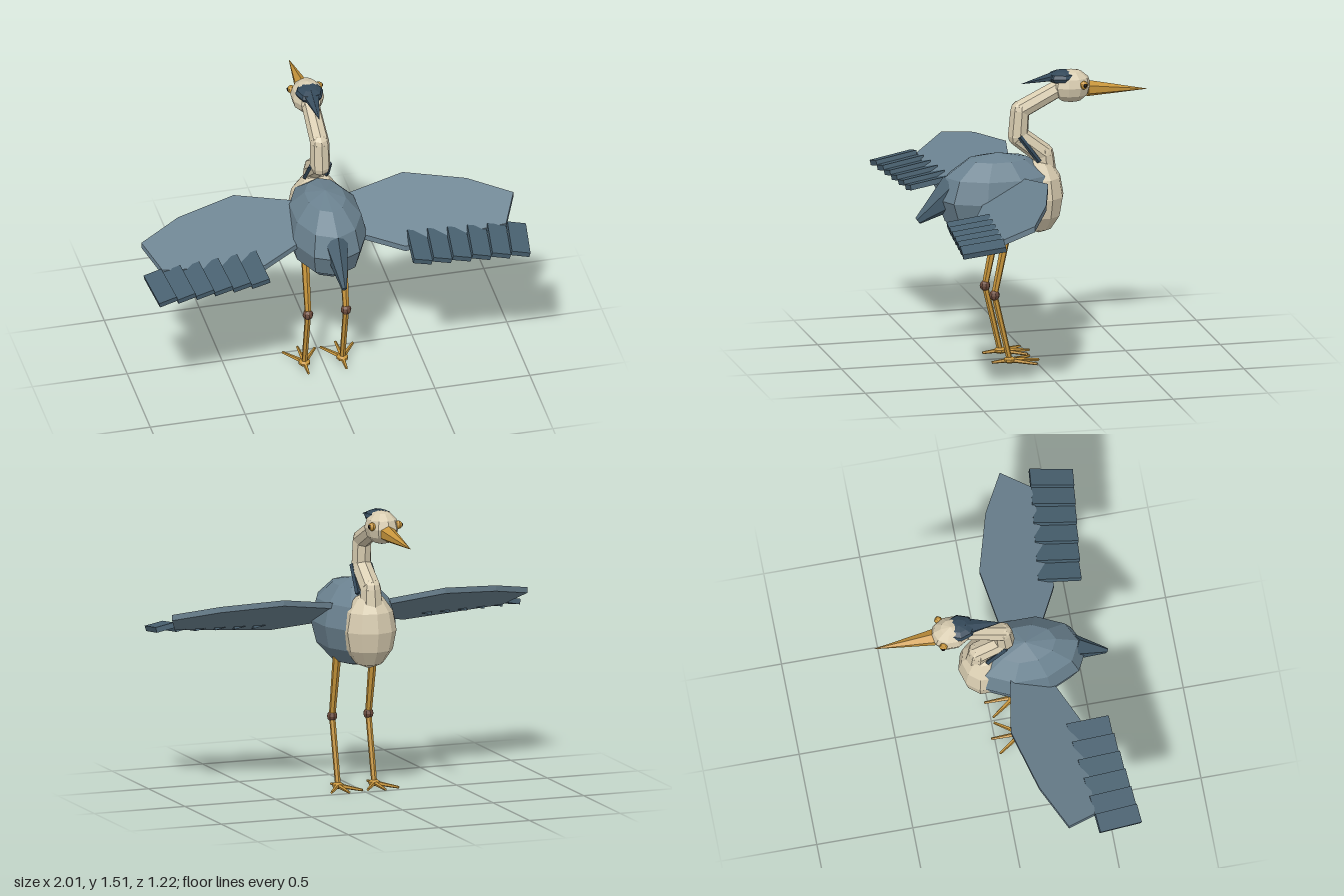
import * as THREE from 'three';

const mat = (color) => new THREE.MeshStandardMaterial({ color, flatShading: true });
const V = (x, y, z) => new THREE.Vector3(x, y, z);

export function createModel() {
  const bird = new THREE.Group();
  bird.name = 'wadingBird';
  const slate = mat(0x6b8290), feather = mat(0x48606f), dark = mat(0x34495a);
  const cream = mat(0xd8ccb0), gold = mat(0xc8963c), brown = mat(0x6b4a3c), black = mat(0x1c1714);

  const add = (name, geometry, material) => {
    const mesh = new THREE.Mesh(geometry, material);
    mesh.name = name;
    bird.add(mesh);
    return mesh;
  };

  // Faceted ellipsoid with a vertex line facing front and back
  const ball = (name, center, radii, material, w = 10, h = 6) => {
    const g = new THREE.SphereGeometry(1, w, h).rotateY(Math.PI / 2);
    g.scale(...radii).translate(...center);
    return add(name, g, material);
  };

  // Tapered bar from a to b; sx and sz flatten its cross-section
  const bar = (name, a, b, ra, rb, material, sides = 8, sx = 1, sz = 1) => {
    const dir = b.clone().sub(a);
    const g = new THREE.CylinderGeometry(rb, ra, dir.length(), sides);
    g.scale(sx, 1, sz);
    const mesh = add(name, g, material);
    mesh.position.copy(a).add(b).multiplyScalar(0.5);
    mesh.quaternion.setFromUnitVectors(V(0, 1, 0), dir.normalize());
    return mesh;
  };

  // Body, breast and tail
  ball('body', [0, 0.868, 0.177], [0.205, 0.23, 0.32], slate);
  ball('breast', [0, 0.86, -0.042], [0.142, 0.2, 0.13], cream);
  bar('tail', V(0, 0.91, 0.4), V(0, 0.762, 0.597), 0.1, 0.02, feather, 6, 0.68, 1);

  // Bent neck with faceted joints
  const neck = [
    [0, 0.98, -0.072, 0.062], [0, 1.075, -0.065, 0.056], [0, 1.18, 0.068, 0.053],
    [0, 1.315, 0.058, 0.05], [0, 1.43, -0.17, 0.046],
  ];
  neck.slice(1).forEach(([x, y, z, r], i) => {
    const [px, py, pz, pr] = neck[i];
    bar('neckSegment', V(px, py, pz), V(x, y, z), pr, r, cream);
    if (i < 3) ball('neckJoint', [x, y, z], [r, r, r], cream, 8, 6);
  });

  // Head, cap, plume and beak
  ball('head', [0, 1.428, -0.212], [0.086, 0.088, 0.104], cream);
  ball('cap', [0, 1.477, -0.168], [0.073, 0.036, 0.088], dark, 8, 6);
  bar('plume', V(0, 1.485, -0.14), V(0, 1.452, 0.05), 0.05, 0.001, dark, 6, 1, 0.55);
  bar('beak', V(0, 1.408, -0.298), V(0, 1.385, -0.61), 0.043, 0.001, gold, 6);

  // Wing outline as x, z; the sheet slopes down to the rear
  const outline = [
    [0.1, 0.08], [0.19, 0.065], [0.445, 0.02], [0.76, 0.11], [0.98, 0.225],
    [0.905, 0.375], [0.37, 0.395], [0.19, 0.305], [0.1, 0.27],
  ];
  const wingTop = (x, z) => 1.035 - 0.52 * (z - 0.02) + 0.06 * (Math.abs(x) - 0.445);

  for (const s of [1, -1]) {
    const side = s > 0 ? 'left' : 'right';

    // Wing
    const shape = new THREE.Shape(outline.map(([x, z]) => new THREE.Vector2(s * x, -z)));
    const wing = new THREE.ExtrudeGeometry(shape, { depth: 0.03, bevelEnabled: false });
    wing.rotateX(-Math.PI / 2);
    const p = wing.attributes.position;
    for (let i = 0; i < p.count; i++) {
      p.setY(i, p.getY(i) - 0.03 + wingTop(p.getX(i), p.getZ(i)));
    }
    wing.computeVertexNormals();
    add(side + 'Wing', wing, slate);

    // Flight feathers, each rolled so they overlap like slats
    for (let i = 0; i < 6; i++) {
      const quill = add(side + 'Feather', new THREE.BoxGeometry(0.098, 0.028, 0.225), feather);
      quill.position.set(s * (0.435 + i * 0.1015), 0.843 + i * 0.001, 0.43 + i * 0.0115);
      quill.rotation.set(0.15, -s * (0.08 + i * 0.01), -s * 0.22, 'YXZ');
    }

    // Eye
    ball(side + 'Eye', [s * 0.073, 1.444, -0.262], [0.02, 0.022, 0.022], gold, 8, 6);
    ball(side + 'Pupil', [s * 0.086, 1.444, -0.265], [0.01, 0.012, 0.012], black, 6, 5);

    // Dark stripe along the lower neck
    bar(side + 'NeckStripe', V(s * 0.05, 1.185, 0.07), V(s * 0.058, 1.05, -0.03), 0.013, 0.013, dark, 4);

    // Leg
    const x = s * 0.1;
    const hip = V(x, 0.69, 0.152), knee = V(x, 0.37, 0.217), ankle = V(x, 0.022, 0.137);
    bar(side + 'Thigh', hip, knee, 0.022, 0.017, gold, 6);
    bar(side + 'Shin', knee, ankle, 0.016, 0.015, gold, 6);
    ball(side + 'Knee', knee.toArray(), [0.028, 0.028, 0.028], brown, 8, 6);
    ball(side + 'Foot', [x, 0.022, 0.137], [0.032, 0.018, 0.034], gold, 8, 5);

    // Three front toes and one back toe
    for (const [dx, dz] of [[0, -0.155], [0.085, -0.125], [-0.085, -0.125], [0, 0.093]]) {
      bar(side + 'Toe', ankle, V(x + dx, 0.014, 0.137 + dz), 0.013, 0.007, gold, 5);
    }
  }
  return bird;
}
